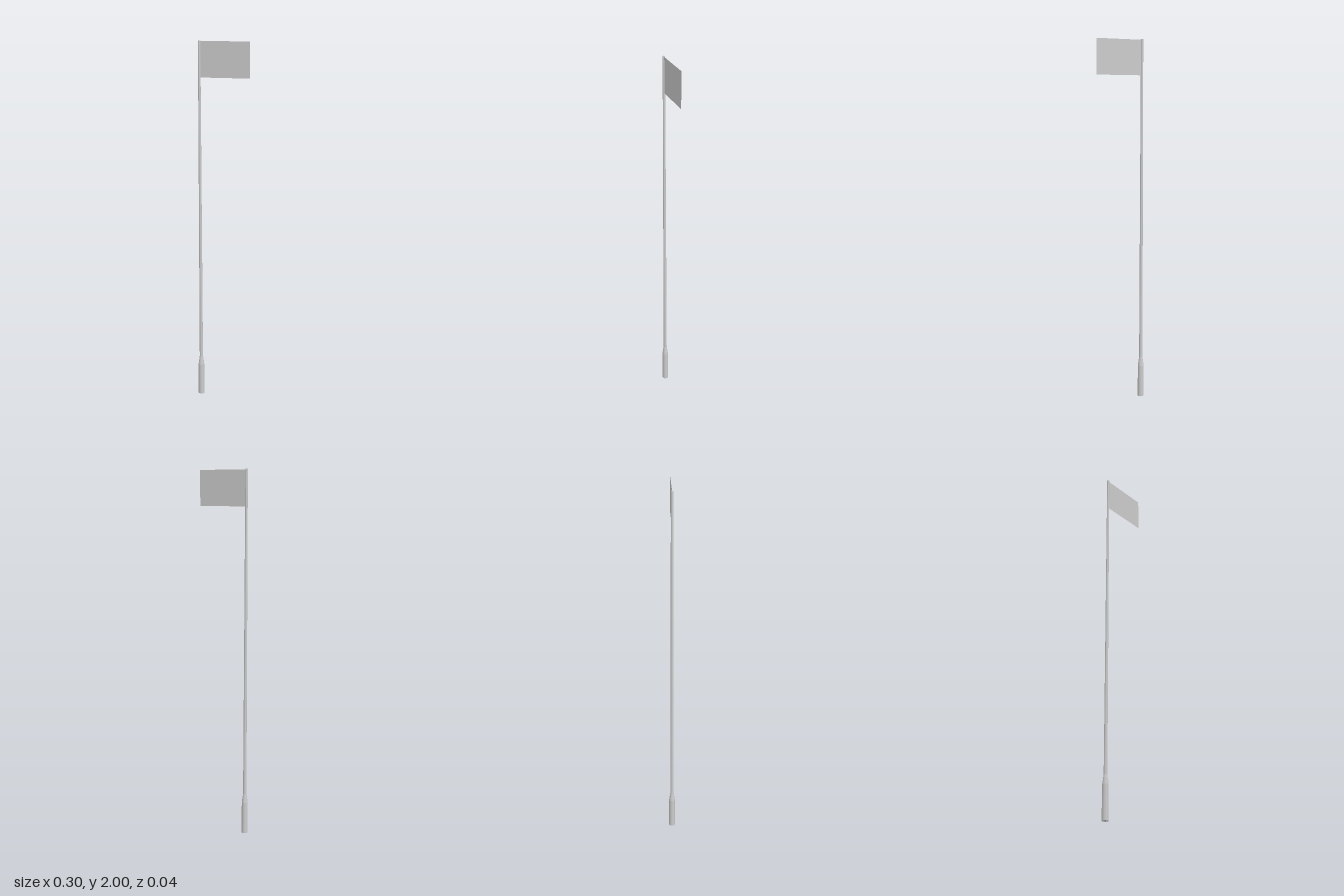
import * as THREE from 'three';

const POLE_X = -0.132;
const SIDES = 12;

export function createModel() {
  const model = new THREE.Group();
  const grey = new THREE.MeshStandardMaterial({ color: 0xcccccc });
  const cloth = new THREE.MeshStandardMaterial({ color: 0xcccccc, side: THREE.DoubleSide });

  // Stacked round section of the mast, from y0 (radius r0) to y1 (radius r1)
  function section(name, y0, r0, y1, r1, open = false) {
    const mesh = new THREE.Mesh(new THREE.CylinderGeometry(r1, r0, y1 - y0, SIDES, 1, open), grey);
    mesh.position.set(POLE_X, (y0 + y1) / 2, 0);
    mesh.name = name;
    model.add(mesh);
  }
  section('baseSleeve', 0, 0.0175, 0.18, 0.0165);
  section('sleeveTaper', 0.18, 0.0165, 0.23, 0.0095, true);
  section('pole', 0.23, 0.0095, 2, 0.0065);

  // Thin flat flag, hoisted at the top of the pole
  const left = POLE_X + 0.005, right = 0.148, bottom = 1.81, top = 1.997;
  const flag = new THREE.Mesh(new THREE.PlaneGeometry(right - left, top - bottom), cloth);
  flag.position.set((left + right) / 2, (bottom + top) / 2, 0);
  flag.name = 'flag';
  model.add(flag);

  return model;
}
